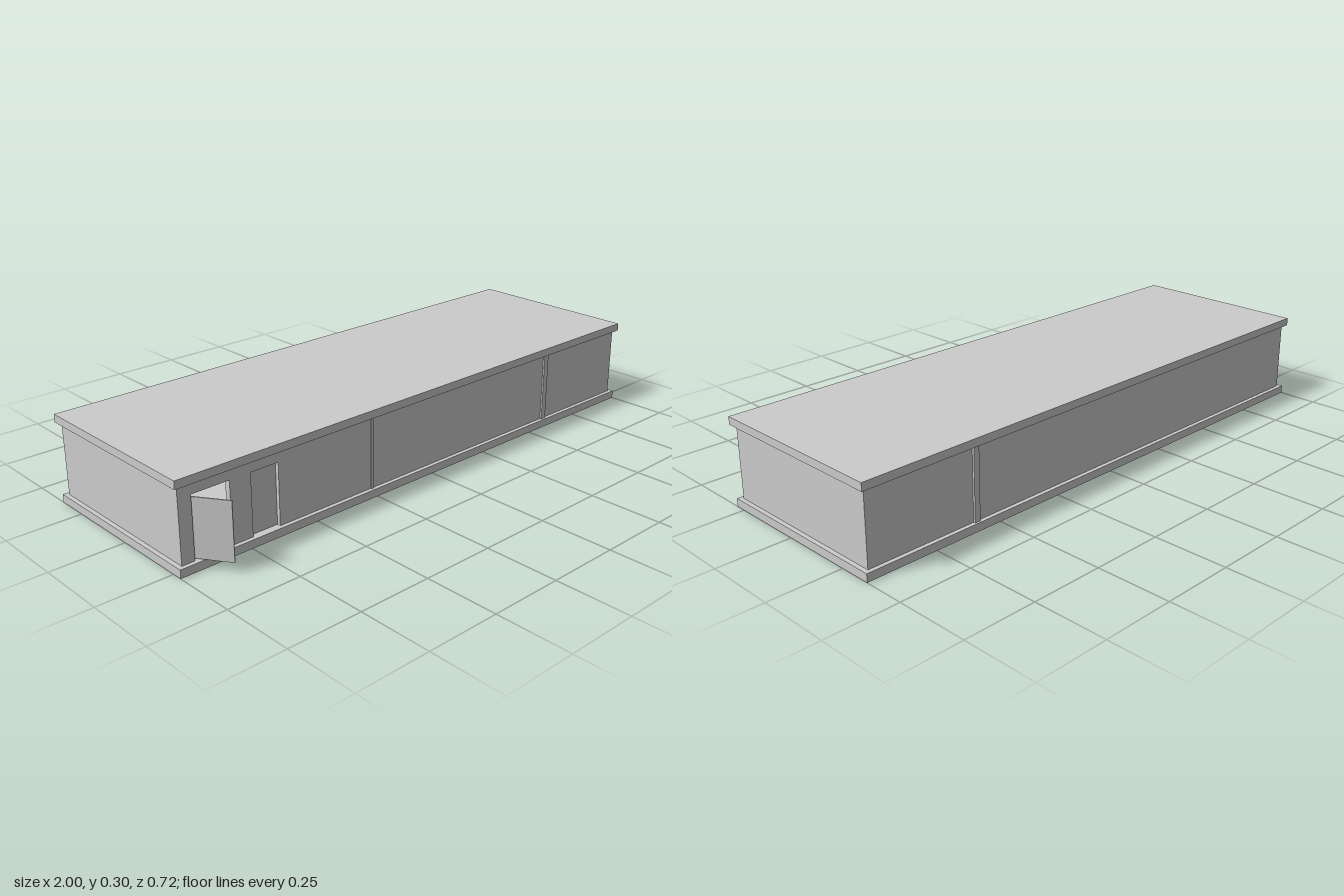
import * as THREE from 'three';

export function createModel() {
  const model = new THREE.Group();
  model.name = 'longHall';
  const grey = new THREE.MeshStandardMaterial({ color: 0xcccccc });
  grey.name = 'plain grey';

  // box given by its minimum and maximum corners
  function block(name, [x0, y0, z0], [x1, y1, z1], parent = model) {
    const mesh = new THREE.Mesh(new THREE.BoxGeometry(x1 - x0, y1 - y0, z1 - z0), grey);
    mesh.position.set((x0 + x1) / 2, (y0 + y1) / 2, (z0 + z1) / 2);
    mesh.name = name;
    parent.add(mesh);
    return mesh;
  }

  const floorY = 0.028, ceilY = 0.273, endX = 0.985;
  const frontZ = 0.271, backZ = -0.346, thick = 0.02;

  // floor and roof slabs overhang the walls
  block('floorSlab', [-1, 0, -0.36], [1, floorY, 0.285]);
  block('roofSlab', [-1, ceilY, -0.36], [1, 0.3, 0.285]);

  // back and end walls
  block('backWall', [-endX, floorY, backZ], [endX, ceilY, backZ + thick]);
  for (const side of [-1, 1]) {
    const xs = [side * endX, side * (endX - thick)].sort((a, b) => a - b);
    block(side > 0 ? 'leftEndWall' : 'rightEndWall',
      [xs[0], floorY, backZ + thick], [xs[1], ceilY, frontZ - thick]);
  }

  // front wall with two doorways cut up from the floor
  const doorTop = 0.235;
  const wall = new THREE.Shape();
  wall.moveTo(-endX, floorY);
  for (const [a, b] of [[-0.94, -0.81], [-0.735, -0.635]]) {
    wall.lineTo(a, floorY);
    wall.lineTo(a, doorTop);
    wall.lineTo(b, doorTop);
    wall.lineTo(b, floorY);
  }
  wall.lineTo(endX, floorY);
  wall.lineTo(endX, ceilY);
  wall.lineTo(-endX, ceilY);
  wall.closePath();
  const frontWall = new THREE.Mesh(
    new THREE.ExtrudeGeometry(wall, { depth: thick, bevelEnabled: false }), grey);
  frontWall.position.z = frontZ - thick;
  frontWall.name = 'frontWall';
  model.add(frontWall);

  // closed door set back in the second doorway
  block('closedDoor', [-0.735, floorY, frontZ - thick], [-0.635, doorTop, frontZ - 0.013]);

  // partitions whose edges show through the long walls
  block('mainPartition', [0.575, floorY, -0.353], [0.596, ceilY, 0.277]);
  block('middlePartition', [-0.268, floorY, backZ + thick], [-0.258, ceilY, 0.275]);

  // open door swung outward about its hinge
  const hinge = new THREE.Group();
  hinge.name = 'openDoor';
  hinge.position.set(-0.94, 0, 0.252);
  hinge.rotation.y = -Math.atan2(0.108, 0.073);
  block('doorLeaf', [0, 0.031, -0.002], [0.13, 0.224, 0.002], hinge);
  model.add(hinge);

  // centre the whole in depth, door included
  return model;
}
